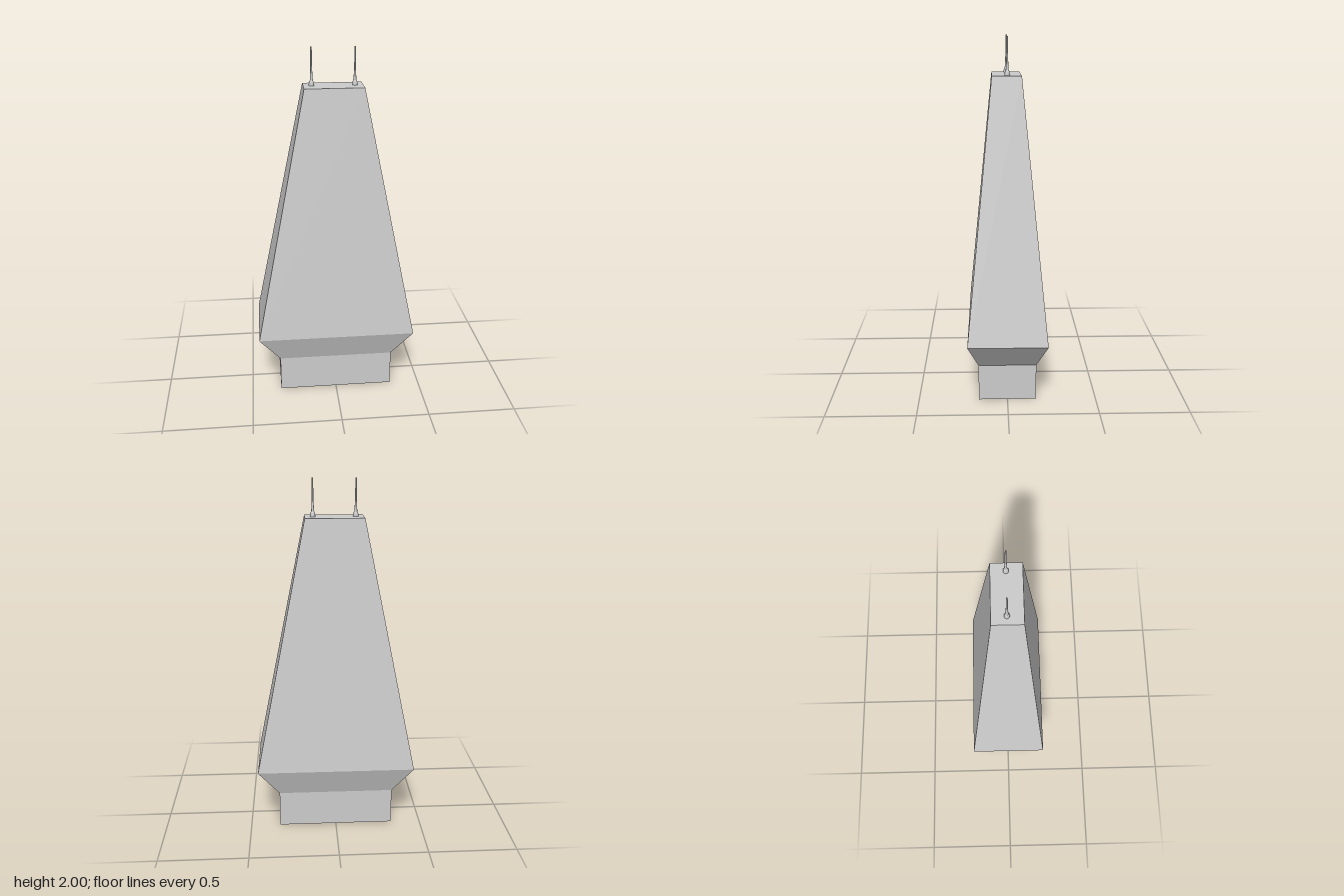
import * as THREE from 'three';

const material = new THREE.MeshStandardMaterial({ color: 0xcccccc, flatShading: true, side: THREE.DoubleSide });
const rodMaterial = new THREE.MeshStandardMaterial({ color: 0xcccccc, side: THREE.DoubleSide });

// Open rectangular band whose half width and half depth change from bottom to top
function band(name, [y0, w0, d0], [y1, w1, d1]) {
  const geo = new THREE.BoxGeometry(2, 1, 2);
  const index = Array.from(geo.index.array);
  index.splice(12, 12); // drop the top and bottom faces
  geo.setIndex(index);
  const p = geo.attributes.position;
  for (let i = 0; i < p.count; i++) {
    const top = p.getY(i) > 0;
    p.setXYZ(i, p.getX(i) * (top ? w1 : w0), top ? y1 : y0, p.getZ(i) * (top ? d1 : d0));
  }
  geo.computeVertexNormals();
  const mesh = new THREE.Mesh(geo, material);
  mesh.name = name;
  return mesh;
}

export function createModel() {
  const group = new THREE.Group();
  group.name = 'taperedTower';

  // Hollow shell, open at the bottom: [height, half width, half depth]
  const rings = [[0, 0.33, 0.162], [0.21, 0.33, 0.162], [0.37, 0.449, 0.22], [1.795, 0.162, 0.08]];
  ['base', 'flare', 'taperedBody'].forEach((name, i) => group.add(band(name, rings[i], rings[i + 1])));

  // Flat roof
  const [topY, topW, topD] = rings[3];
  const roof = new THREE.Mesh(new THREE.PlaneGeometry(topW * 2, topD * 2).rotateX(-Math.PI / 2), material);
  roof.name = 'roof';
  roof.position.y = topY;
  group.add(roof);

  // Two antennas, each a small foot with a thin tapering rod
  const foot = [[0.014, 0], [0.014, 0.012], [0.011, 0.024], [0.008, 0.028]];
  const rod = [[0.008, 0.028], [0.005, 0.085], [0.004, 0.205], [0, 0.205]];
  for (const side of [1, -1]) {
    const antenna = new THREE.Group();
    antenna.name = side > 0 ? 'leftAntenna' : 'rightAntenna';
    for (const [name, profile] of [['antennaFoot', foot], ['antennaRod', rod]]) {
      const points = profile.map(([r, y]) => new THREE.Vector2(r, y));
      const mesh = new THREE.Mesh(new THREE.LatheGeometry(points, 16), rodMaterial);
      mesh.name = name;
      antenna.add(mesh);
    }
    antenna.position.set(side * 0.117, topY, -0.003);
    group.add(antenna);
  }
  return group;
}
